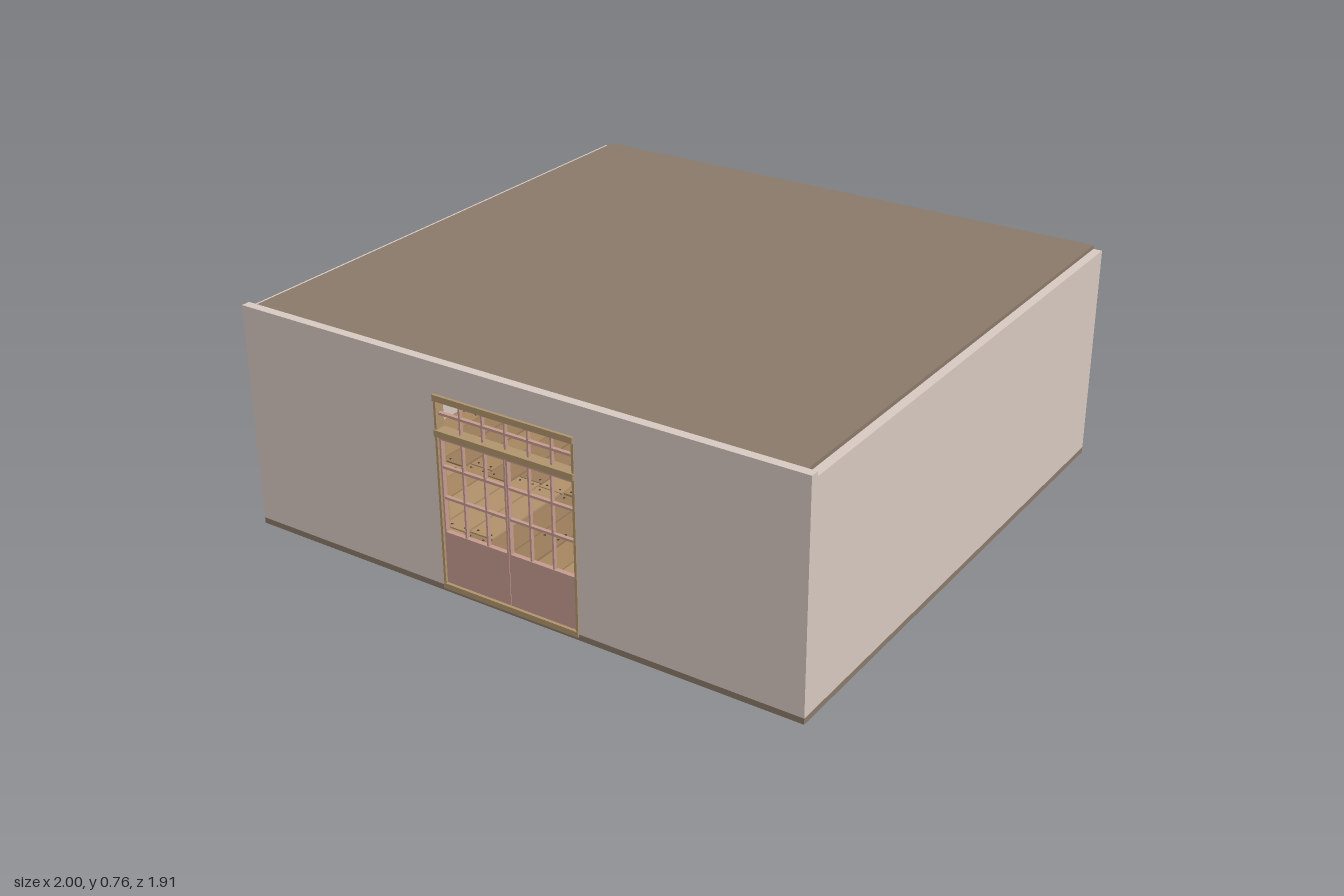
import * as THREE from 'three';
import { mergeGeometries } from 'three/addons/utils/BufferGeometryUtils.js';

const mat = (color) => new THREE.MeshStandardMaterial({ color });
const plaster = mat(0xd6c8c0);
const timber = mat(0x8a7969);
const tan = mat(0xb0946c);
const rose = mat(0xc49a8e);
const iron = mat(0x4a403a);
const plankMats = [mat(0xb0906a), mat(0xa5855f), mat(0x9a7c5a)];

const BACK = -0.957, FRONT = 0.947, WALL = 0.03, FLOOR = 0.02, TOP = 0.76;

// Box geometry given by its minimum and maximum corners
function slab(x0, x1, y0, y1, z0, z1) {
  return new THREE.BoxGeometry(x1 - x0, y1 - y0, z1 - z0)
    .translate((x0 + x1) / 2, (y0 + y1) / 2, (z0 + z1) / 2);
}

function add(parent, name, geometry, material) {
  const mesh = new THREE.Mesh(geometry, material);
  mesh.name = name;
  parent.add(mesh);
  return mesh;
}

// Front wall with a rectangular doorway
function frontWall() {
  const shape = new THREE.Shape([
    new THREE.Vector2(-1, FLOOR), new THREE.Vector2(1, FLOOR),
    new THREE.Vector2(1, TOP), new THREE.Vector2(-1, TOP)]);
  shape.holes.push(new THREE.Path([
    new THREE.Vector2(-0.245, 0.025), new THREE.Vector2(-0.245, 0.655),
    new THREE.Vector2(0.245, 0.655), new THREE.Vector2(0.245, 0.025)]));
  return new THREE.ExtrudeGeometry(shape, { depth: WALL, bevelEnabled: false })
    .translate(0, 0, FRONT - WALL);
}

// Staggered boards running from back to front, each with nail heads at its ends
function floorBoards() {
  const group = new THREE.Group();
  group.name = 'floorBoards';
  let seed = 7;
  const rand = () => (seed = (seed * 16807) % 2147483647) / 2147483647;
  const boards = [[], [], []], nails = [];
  const rows = 20, width = 1.94 / rows, z1 = FRONT - WALL;
  for (let r = 0; r < rows; r++) {
    const x = -0.97 + r * width;
    let z = BACK;
    let length = 0.15 + 0.3 * rand();
    while (z < z1 - 0.01) {
      const end = z + length > z1 - 0.08 ? z1 : z + length;
      const top = 0.025 + 0.003 * rand();
      boards[Math.floor(rand() * 3)].push(
        slab(x + 0.004, x + width - 0.004, FLOOR - 0.002, top, z + 0.003, end - 0.003));
      for (const nz of [z + 0.02, end - 0.02]) {
        for (const nx of [x + 0.022, x + width - 0.022]) {
          nails.push(new THREE.CylinderGeometry(0.004, 0.004, 0.002, 6)
            .translate(nx, top + 0.0005, nz));
        }
      }
      z = end;
      length = 0.36 + 0.14 * rand();
    }
  }
  boards.forEach((list, i) => add(group, 'boards' + (i + 1), mergeGeometries(list), plankMats[i]));
  add(group, 'nailHeads', mergeGeometries(nails), iron);
  return group;
}

// Double door with glazing bars, solid lower panels and a barred transom
function doorway() {
  const group = new THREE.Group();
  group.name = 'doorway';
  const z0 = FRONT - WALL, z1 = FRONT;
  add(group, 'lintel', slab(-0.25, 0.25, 0.64, 0.66, z0, z1 + 0.009), tan);
  add(group, 'transomRail', slab(-0.25, 0.25, 0.525, 0.546, z0, z1 + 0.009), tan);
  add(group, 'threshold', slab(-0.25, 0.25, 0.012, 0.03, z0, z1 + 0.006), tan);

  // Transom bars
  for (let i = -2; i <= 2; i++) {
    const x = i * 0.082;
    add(group, 'transomBar', slab(x - 0.003, x + 0.003, 0.546, 0.64, z1 - 0.018, z1 - 0.006), rose);
  }
  add(group, 'transomCrossBar', slab(-0.243, 0.243, 0.591, 0.599, z1 - 0.018, z1 - 0.006), rose);

  for (const s of [-1, 1]) {
    const span = (a, b, y0, y1, za, zb) =>
      slab(Math.min(s * a, s * b), Math.max(s * a, s * b), y0, y1, za, zb);
    add(group, 'jamb', span(0.242, 0.25, 0.025, 0.65, z0, z1 + 0.004), tan);

    // One door leaf
    const leaf = new THREE.Group();
    leaf.name = s > 0 ? 'leftLeaf' : 'rightLeaf';
    const za = z1 - 0.02, zb = z1 - 0.004;
    add(leaf, 'lowerPanel', span(0.001, 0.242, 0.03, 0.205, za, zb), rose);
    add(leaf, 'topRail', span(0.001, 0.242, 0.512, 0.525, za, zb), rose);
    add(leaf, 'meetingStile', span(0.001, 0.007, 0.205, 0.512, za, zb), rose);
    add(leaf, 'hingeStile', span(0.236, 0.242, 0.205, 0.512, za, zb), rose);
    for (const x of [0.08, 0.161]) {
      add(leaf, 'uprightBar', span(x - 0.003, x + 0.003, 0.205, 0.512, za + 0.002, zb - 0.002), rose);
    }
    for (const y of [0.32, 0.422]) {
      add(leaf, 'crossBar', span(0.007, 0.236, y - 0.004, y + 0.004, za + 0.002, zb - 0.002), rose);
    }
    group.add(leaf);
  }
  return group;
}

export function createModel() {
  const model = new THREE.Group();
  model.name = 'room';

  // Shell, open at the back
  add(model, 'floorBase', slab(-1, 1, 0, FLOOR, BACK, FRONT), timber);
  add(model, 'frontWall', frontWall(), plaster);
  for (const s of [-1, 1]) {
    const wall = slab(-WALL / 2, WALL / 2, FLOOR, 0.745, BACK, FRONT - WALL);
    add(model, s > 0 ? 'leftWall' : 'rightWall', wall, plaster).position.x = s * (1 - WALL / 2);
  }
  add(model, 'ceiling', slab(-0.97, 0.97, 0.74, 0.758, BACK, FRONT - WALL - 0.002), timber);

  model.add(floorBoards(), doorway());

  // Small crate standing on the floor
  add(model, 'crate', slab(0.436, 0.596, 0.02, 0.18, 0.133, 0.283), timber);
  return model;
}
